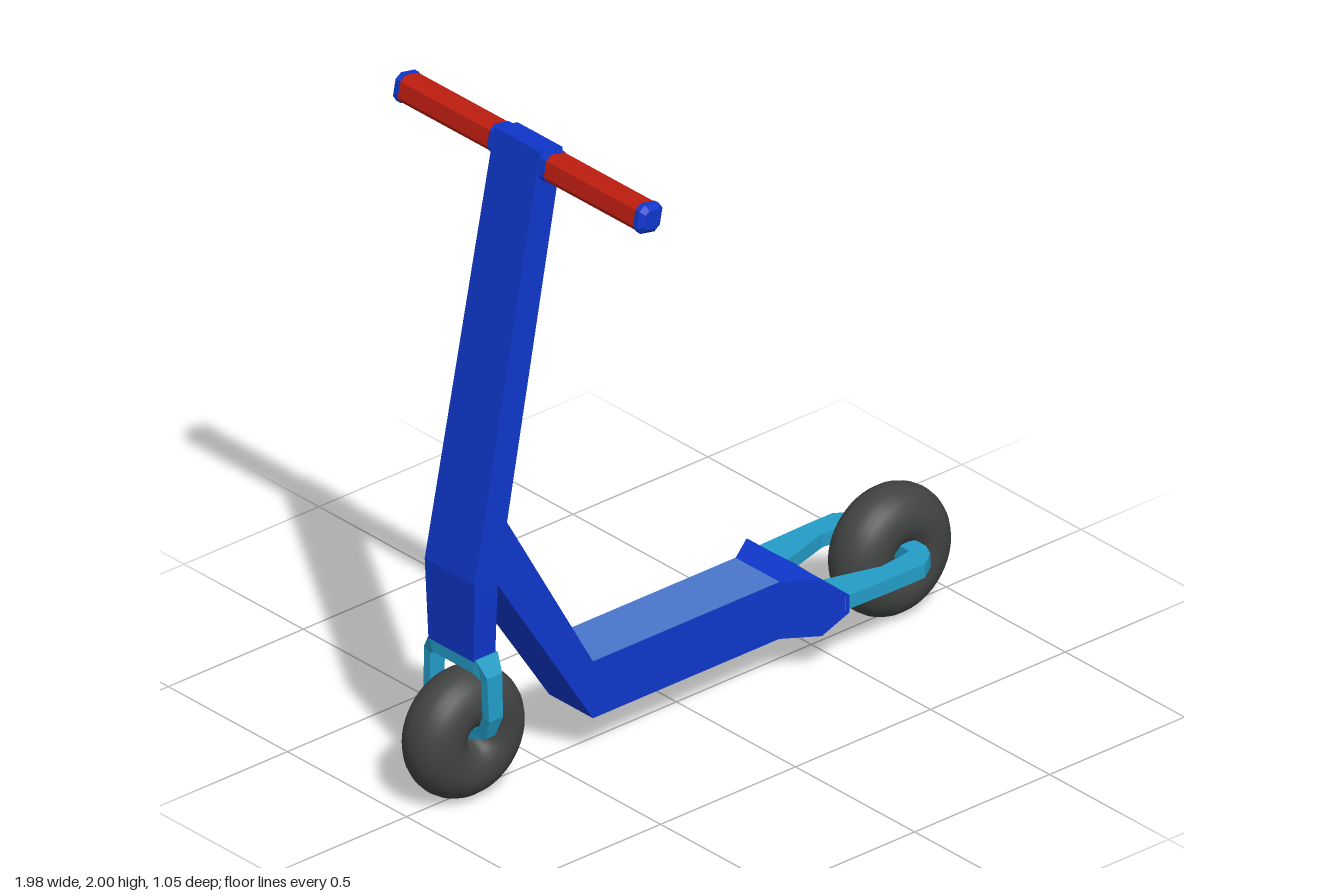
import * as THREE from 'three';

const mat = (color) => new THREE.MeshStandardMaterial({ color, side: THREE.DoubleSide });
const flat = (color) => { const m = mat(color); m.flatShading = true; return m; };

// Joins rings of equal, even point count into a closed faceted solid
function loft(name, rings, material) {
  const n = rings[0].length, tris = [];
  const quad = (a, b, c, d) => tris.push(a, b, c, a, c, d);
  for (let r = 0; r < rings.length - 1; r++) {
    for (let i = 0; i < n; i++) {
      const j = (i + 1) % n;
      quad(rings[r][i], rings[r][j], rings[r + 1][j], rings[r + 1][i]);
    }
  }
  const first = rings[0], last = rings[rings.length - 1];
  for (let i = 0; i < n / 2 - 1; i++) {
    quad(first[n - 1 - i], first[n - 2 - i], first[i + 1], first[i]);
    quad(last[i], last[i + 1], last[n - 2 - i], last[n - 1 - i]);
  }
  // Turn the faces outwards if the enclosed volume is negative
  let volume = 0;
  const v = tris.map((p) => new THREE.Vector3(...p));
  for (let i = 0; i < v.length; i += 3) volume += v[i].dot(v[i + 1].clone().cross(v[i + 2]));
  if (volume < 0) for (let i = 0; i < v.length; i += 3) [v[i + 1], v[i + 2]] = [v[i + 2], v[i + 1]];
  const geometry = new THREE.BufferGeometry().setFromPoints(v);
  geometry.computeVertexNormals();
  const mesh = new THREE.Mesh(geometry, material);
  mesh.name = name;
  return mesh;
}

// Rectangular ring across z between two side-profile points
const band = (x1, y1, x2, y2, h) => [[x1, y1, -h], [x2, y2, -h], [x2, y2, h], [x1, y1, h]];

export function createModel() {
  const scooter = new THREE.Group();
  scooter.name = 'kickScooter';
  const blue = flat(0x0f37cc), red = flat(0xc01e10), teal = flat(0x239dc8);
  const deckTop = flat(0x4a76cc), rubber = mat(0x414343);

  // Steering column and head tube
  scooter.add(loft('steeringColumn', [
    band(-0.59, 2.0, -0.505, 1.985, 0.095),
    band(-0.84, 0.72, -0.755, 0.69, 0.105),
    band(-0.835, 0.47, -0.755, 0.47, 0.095),
  ], blue));

  // Sloping neck and deck
  scooter.add(loft('neckAndDeck', [
    band(-0.755, 0.69, -0.722, 0.88, 0.105),
    band(-0.39, 0.13, -0.39, 0.31, 0.092),
    band(0.3, 0.13, 0.3, 0.31, 0.092),
  ], blue));

  const tread = new THREE.Mesh(new THREE.BoxGeometry(0.69, 0.004, 0.184), deckTop);
  tread.name = 'deckTread';
  tread.position.set(-0.045, 0.31, 0);
  scooter.add(tread);

  // Flared tail with a notch for the rear wheel
  const tailRing = (x, bottom, top, outer, inner, notch = 0) => {
    const zs = [-outer, -inner, 0, inner, outer];
    const dx = (z) => (z === 0 ? notch : 0);
    return [
      ...zs.map((z) => [x - dx(z), top + dx(z), z]),
      ...zs.reverse().map((z) => [x - dx(z), bottom - dx(z), z]),
    ];
  };
  scooter.add(loft('deckTail', [
    tailRing(0.3, 0.13, 0.31, 0.092, 0.04),
    tailRing(0.4, 0.13, 0.31, 0.158, 0.06),
    tailRing(0.47, 0.195, 0.25, 0.195, 0.07, 0.03),
  ], blue));

  // Handlebar: chamfered square sections, tilted with the column
  const barRing = (z, s) => {
    const a = 0.042 * s, b = 0.025 * s, t = -0.19;
    return [[a, b], [b, a], [-b, a], [-a, b], [-a, -b], [-b, -a], [b, -a], [a, -b]].map(([x, y]) => [
      -0.551 + x * Math.cos(t) - y * Math.sin(t),
      1.947 + x * Math.sin(t) + y * Math.cos(t), z,
    ]);
  };
  scooter.add(loft('handlebarClamp', [barRing(-0.118, 1.02), barRing(0.118, 1.02)], blue));

  for (const s of [1, -1]) {
    const side = s > 0 ? 'left' : 'right';
    scooter.add(loft(side + 'Grip', [barRing(s * 0.11, 0.97), barRing(s * 0.495, 0.97)], red));
    scooter.add(loft(side + 'GripCap',
      [barRing(s * 0.495, 1.03), barRing(s * 0.512, 1.03), barRing(s * 0.525, 0.7)], blue));

    // Fork leg: inner z,y / outer z,y / half width in x
    const fork = [
      [0, 0.43, 0, 0.475, 0.04], [0.085, 0.43, 0.1, 0.475, 0.04],
      [0.107, 0.41, 0.132, 0.425, 0.028], [0.11, 0.3, 0.138, 0.29, 0.026],
      [0.085, 0.25, 0.115, 0.225, 0.018], [0.03, 0.215, 0.03, 0.19, 0.012],
    ].map(([z1, y1, z2, y2, w]) => [
      [-0.79 - w, y1, s * z1], [-0.79 + w, y1, s * z1],
      [-0.79 + w, y2, s * z2], [-0.79 - w, y2, s * z2],
    ]);
    scooter.add(loft(side + 'ForkLeg', fork, teal));

    // Rear wheel arm: inner x,z / outer x,z
    const arm = [
      [0.46, 0.07, 0.46, 0.19], [0.65, 0.125, 0.65, 0.195], [0.74, 0.115, 0.75, 0.195],
      [0.765, 0.11, 0.8, 0.16], [0.765, 0.09, 0.82, 0.12], [0.765, 0.035, 0.82, 0.035],
    ].map(([x1, z1, x2, z2]) => [
      [x1, 0.247, s * z1], [x2, 0.247, s * z2], [x2, 0.203, s * z2], [x1, 0.203, s * z1],
    ]);
    scooter.add(loft(side + 'RearArm', arm, teal));
  }

  // Thick doughnut tyres
  for (const [name, x] of [['frontWheel', -0.79], ['rearWheel', 0.79]]) {
    const wheel = new THREE.Mesh(new THREE.TorusGeometry(0.107, 0.091, 24, 48), rubber);
    wheel.name = name;
    wheel.position.set(x, 0.2, 0);
    scooter.add(wheel);
  }
  return scooter;
}
